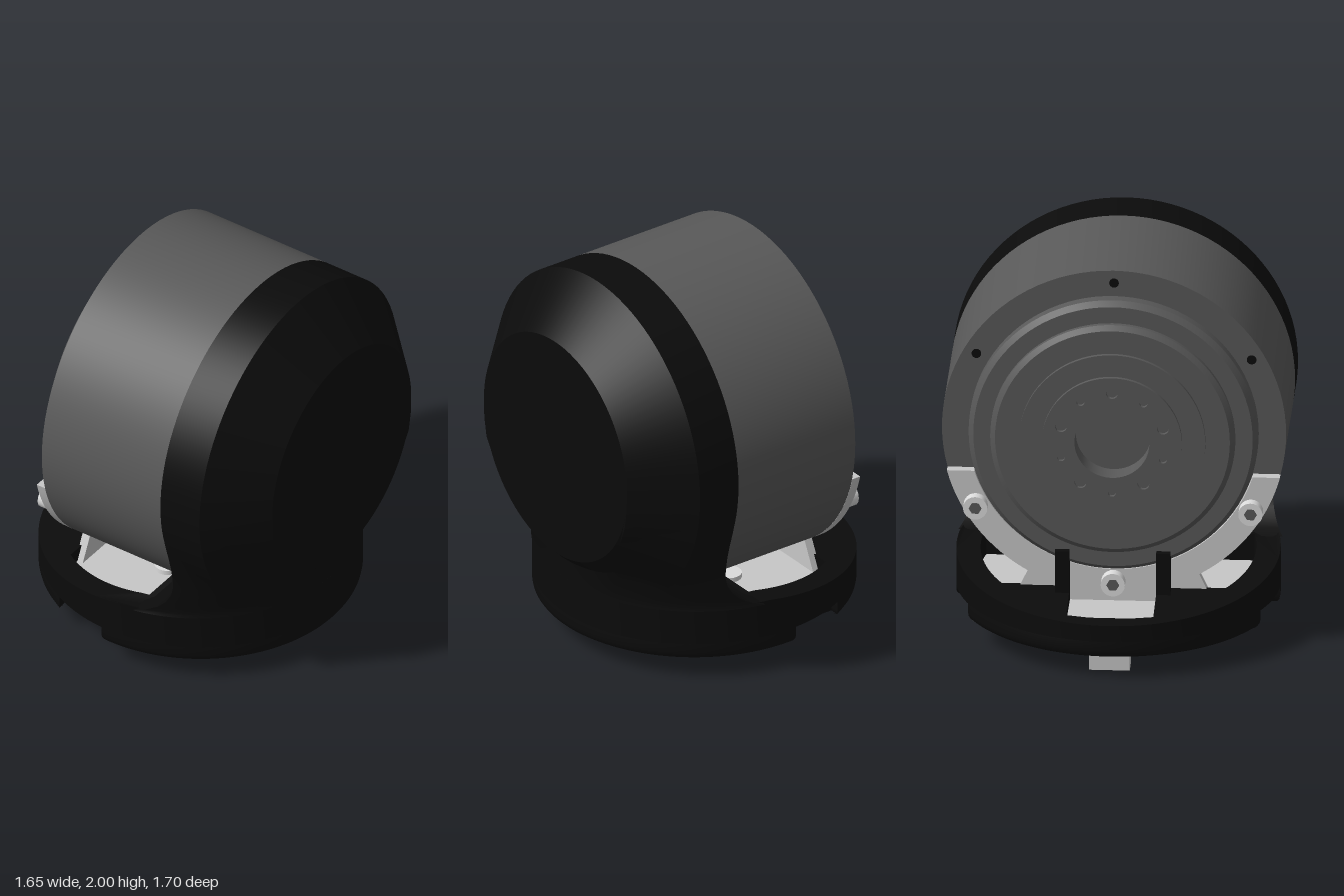
import * as THREE from 'three';
import { toCreasedNormals } from 'three/addons/utils/BufferGeometryUtils.js';

const { lerp, smoothstep } = THREE.MathUtils;
const CX = -0.025;   // centre of the round base
const CY = 1.15;     // height of the motor axis

function material(name, color) {
  const m = new THREE.MeshStandardMaterial({ color });
  m.name = name;
  return m;
}

// Profile of [radius, position] revolved about y
function lathe(profile, segments) {
  const pts = profile.map(([r, p]) => new THREE.Vector2(r, p));
  return toCreasedNormals(new THREE.LatheGeometry(pts, segments), 0.4);
}
// Same, about the x axis at motor height
const latheX = (profile) => lathe(profile, 96).rotateZ(-Math.PI / 2).translate(0, CY, 0);

const shapeOf = (pts) => new THREE.Shape(pts.map(([a, b]) => new THREE.Vector2(a, b)));

// Arc of points about (cx, cy), angles in degrees
function arc(cx, cy, r, from, to, n) {
  return Array.from({ length: n + 1 }, (_, i) => {
    const t = lerp(from, to, i / n) * Math.PI / 180;
    return [cx + r * Math.cos(t), cy + r * Math.sin(t)];
  });
}

// Plan outline (x, z) raised to height between y0 and y1
function slab(shape, y0, y1) {
  const g = new THREE.ExtrudeGeometry(shape, { depth: y1 - y0, bevelEnabled: false, curveSegments: 32 });
  return g.rotateX(-Math.PI / 2).translate(0, y0, 0);
}
// Upright outline (z, y) given thickness between x0 and x1
function plate(shape, x0, x1) {
  const g = new THREE.ExtrudeGeometry(shape, { depth: x1 - x0, bevelEnabled: false, curveSegments: 32 });
  return toCreasedNormals(g.rotateY(Math.PI / 2).translate(x0, 0, 0), 0.4);
}

function circleHole(x, y, r) {
  return new THREE.Path().absarc(x, y, r, 0, Math.PI * 2, true);
}

// Neck: horizontal cross-sections blending the round base into the chamfered cap
function neckGeometry() {
  const rows = [ // height, half width, reach in x
    [0.39, 0.80, 0.775], [0.41, 0.777, 0.775], [0.44, 0.76, 0.776], [0.48, 0.748, 0.778],
    [0.53, 0.741, 0.782], [0.58, 0.74, 0.788], [0.63, 0.745, 0.795], [0.7, 0.757, 0.806],
    [0.78, 0.778, 0.817], [0.86, 0.802, 0.824], [0.95, 0.826, 0.825], [1.05, 0.844, 0.825], [1.15, 0.85, 0.825],
  ];
  const half = 20, n = half * 2 + 1, pos = [], idx = [];
  rows.forEach(([y, w, reach], i) => {
    const drop = Math.max(0, 0.6 - y);
    const xf = 0.13 + Math.sqrt(Math.max(0, 0.04 - drop * drop));
    const s = smoothstep(y, 0.39, 1.0);
    const th0 = Math.acos((xf - CX) / 0.8);
    const side = [];
    for (let k = 0; k <= half; k++) {
      const u = k / half, th = th0 * (1 - u);
      let x = 0.825, z = 0.7 * (1 - u) / 0.35;
      if (u < 0.3) { x = lerp(xf, 0.565, u / 0.3); z = 1; }
      else if (u < 0.65) { x = lerp(0.565, 0.825, (u - 0.3) / 0.35); z = lerp(1, 0.7, (u - 0.3) / 0.35); }
      side.push([lerp(CX + 0.8 * Math.cos(th), x, s), lerp(Math.sin(th), z, s)]);
    }
    const zMax = Math.max(...side.map((p) => p[1]));
    const kx = (reach - xf) / (side[half][0] - xf);
    for (let j = 0; j < n; j++) {
      const [x, z] = side[j <= half ? j : 2 * half - j];
      pos.push(xf + (x - xf) * kx, y, (j <= half ? 1 : -1) * z * w / zMax);
    }
    if (i === 0) return;
    for (let j = 0; j < n; j++) {
      const a = (i - 1) * n + j, b = (i - 1) * n + (j + 1) % n;
      idx.push(a, b, b + n, a, b + n, a + n);
    }
  });
  const g = new THREE.BufferGeometry();
  g.setAttribute('position', new THREE.Float32BufferAttribute(pos, 3));
  g.setIndex(idx);
  return toCreasedNormals(g, 0.6);
}

export function createModel() {
  const model = new THREE.Group();
  model.name = 'motorModule';
  const black = material('black shell', 0x0b0b0b);
  const grey = material('motor grey', 0x595959);
  const silver = material('bracket silver', 0xc8c8c8);
  const steel = material('screw steel', 0xdcdcdc);
  const add = (name, geo, mat, x = 0, y = 0, z = 0) => {
    const m = new THREE.Mesh(geo, mat);
    m.name = name;
    m.position.set(x, y, z);
    model.add(m);
  };

  // Motor drum with stepped output face and centre bore
  add('motorDrum', latheX([
    [0, -0.44], [0.185, -0.44], [0.185, -0.535], [0.46, -0.535], [0.46, -0.515], [0.58, -0.515],
    [0.605, -0.495], [0.605, -0.47], [0.69, -0.47], [0.715, -0.44], [0.715, -0.385],
    [0.85, -0.385], [0.85, 0.33], [0, 0.33],
  ]), grey);

  // Output flange with a circle of bolt holes
  const flange = new THREE.Shape().absarc(0, CY, 0.346, 0, Math.PI * 2, false);
  flange.holes.push(circleHole(0, CY, 0.185));
  for (let i = 0; i < 10; i++) {
    const a = (i + 0.5) * Math.PI / 5;
    flange.holes.push(circleHole(0.265 * Math.cos(a), CY + 0.265 * Math.sin(a), i % 2 ? 0.02 : 0.029));
  }
  add('outputFlange', plate(flange, -0.555, -0.535), grey);

  // Rim holes above, bracket screws below
  const disc = (r, h, n) => new THREE.CylinderGeometry(r, r, h, n).rotateZ(Math.PI / 2);
  for (let i = 0; i < 6; i++) {
    const a = i * Math.PI / 3, y = CY + 0.785 * Math.cos(a), z = 0.785 * Math.sin(a);
    if (i < 2 || i === 5) add('rimHole', disc(0.024, 0.006, 16), black, -0.385, y, z);
    else {
      add('bracketScrew', disc(0.06, 0.07, 24), steel, -0.453, y, z);
      add('screwSocket', disc(0.032, 0.006, 6), grey, -0.487, y, z);
    }
  }

  // Rear cap and neck
  add('rearCap', latheX([[0, 0.33], [0.85, 0.33], [0.85, 0.565], [0.595, 0.825], [0, 0.825]]), black);
  add('neck', neckGeometry(), black);

  // Base lower layer: rounded bottom edge, side notches
  const notch = (s) => [[-0.06, s * 0.67], [-0.37, s * 0.67]];
  const angle = (x) => Math.acos((x - CX) / 0.8) * 180 / Math.PI;
  const a0 = angle(-0.06), a1 = angle(-0.37);
  const lower = shapeOf([
    ...arc(CX, 0, 0.8, -a0, a0, 64), ...notch(1),
    ...arc(CX, 0, 0.8, a1, 360 - a1, 48), ...notch(-1).reverse(),
  ]);
  const lowerGeo = new THREE.ExtrudeGeometry(lower, {
    depth: 0.05, bevelSize: 0.04, bevelThickness: 0.04, bevelOffset: -0.04, bevelSegments: 4,
  }).rotateX(-Math.PI / 2).translate(0, 0.15, 0);
  add('baseLower', toCreasedNormals(lowerGeo, 0.5), black);

  // Base rim: sloped top with a well under the motor and a front window
  const rim = shapeOf(arc(CX, 0, 0.8, 0, 357, 119));
  const well = [...arc(CX, 0, 0.68, 76.8, 125.5, 16), [-0.42, 0.215], [-0.725, 0.215], [-0.745, 0.1]];
  const mirrored = well.map(([x, z]) => [x, -z]).reverse();
  rim.holes.push(new THREE.Path([...well, ...mirrored].map(([x, z]) => new THREE.Vector2(x, z))));
  const rimGeo = slab(rim, 0.2, 0.4);
  const p = rimGeo.attributes.position;
  for (let i = 0; i < p.count; i++) {
    if (p.getY(i) > 0.3) p.setY(i, Math.min(0.4, 0.285 + 0.124 * (p.getX(i) + 0.83)));
  }
  add('baseRim', toCreasedNormals(rimGeo, 0.4), black);
  for (const s of [-1, 1]) {
    add('rimPost', new THREE.BoxGeometry(0.065, 0.25, 0.07), black, -0.472, 0.42, s * 0.25);
  }

  // Bracket: floor, tongue, crescent and foot
  add('bracketFloor', new THREE.CylinderGeometry(0.69, 0.69, 0.02, 64), silver, CX, 0.25, 0);
  add('bracketTongue', new THREE.BoxGeometry(0.36, 0.02, 0.44), silver, -0.57, 0.252, 0);
  add('bracketTab', new THREE.BoxGeometry(0.12, 0.2, 0.2), silver, -0.69, 0.12, 0);
  add('bracketCrescent', plate(shapeOf([
    ...arc(0, CY, 0.85, 194.6, 345.4, 48), ...arc(0, CY, 0.72, 342.7, 197.3, 48),
  ]), -0.435, -0.386), silver);
  add('bracketFoot', plate(shapeOf([[-0.5, 0.25], [0.5, 0.25], [0.42, 0.42], [-0.42, 0.42]]), -0.432, -0.388), silver);

  // Underside mounting plate, cut straight at the back
  const mount = shapeOf(arc(-0.03, 0, 0.545, 44.3, 315.7, 64));
  mount.holes.push(circleHole(-0.03, 0, 0.085));
  add('mountPlate', toCreasedNormals(slab(mount, 0.098, 0.115), 0.4), silver);
  add('mountHole', new THREE.CylinderGeometry(0.09, 0.09, 0.006, 32), silver, -0.03, 0.109, 0);
  add('mountStrip', new THREE.BoxGeometry(0.035, 0.01, 0.76), silver, 0.39, 0.107, 0);

  // Six mounting pins below, their heads on the floor above
  const pin = lathe([[0, 0], [0.033, 0], [0.043, 0.012], [0.043, 0.12], [0, 0.12]], 24);
  const head = new THREE.CylinderGeometry(0.065, 0.065, 0.03, 24);
  for (let i = 0; i < 6; i++) {
    const a = Math.PI / 6 + i * Math.PI / 3, x = -0.03 + 0.28 * Math.cos(a), z = 0.28 * Math.sin(a);
    add('mountPin', pin, steel, x, 0, z);
    add('pinHead', head, steel, x, 0.27, z);
  }
  return model;
}
